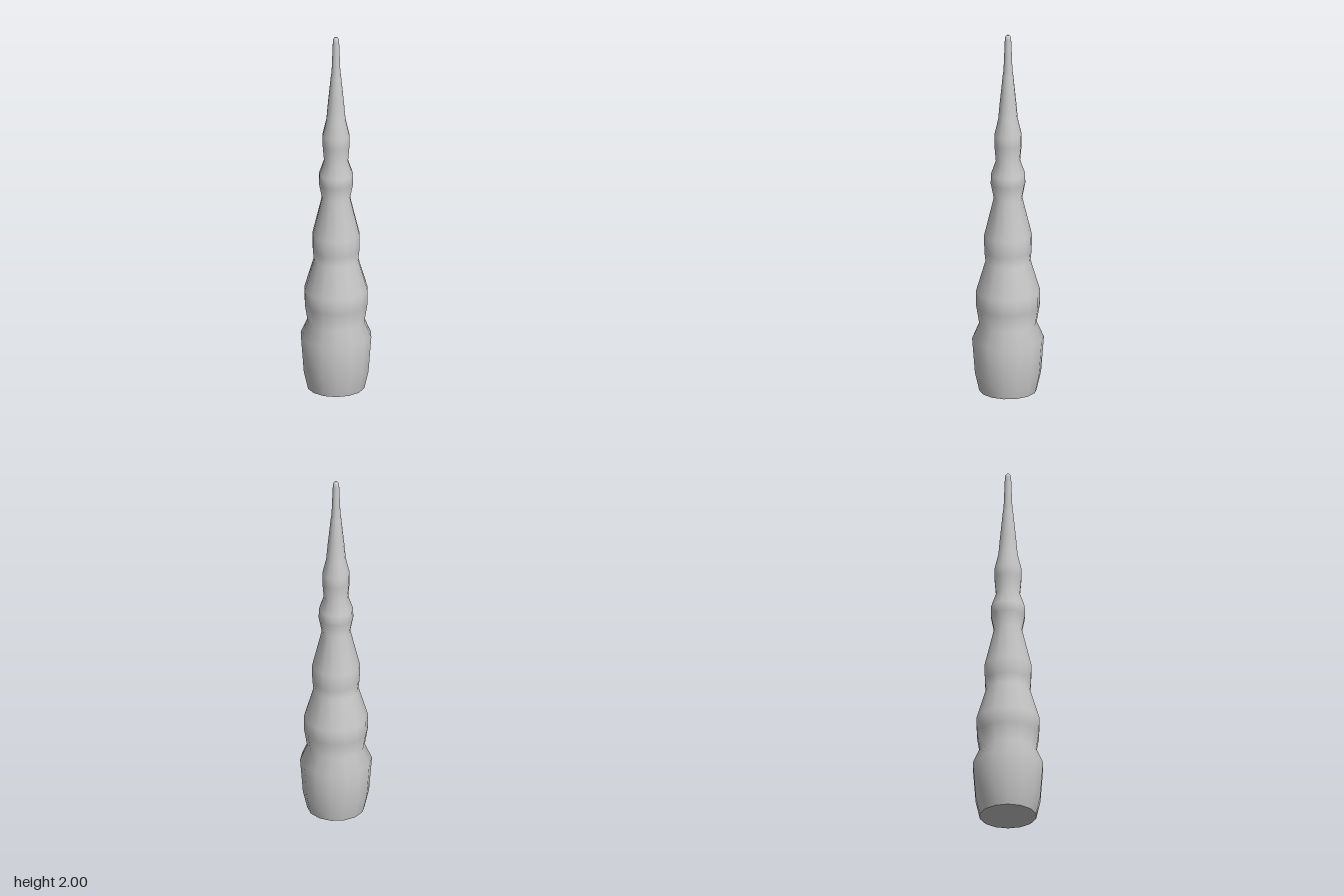
import * as THREE from 'three';

const SIDES = 14;

// Outline of the spire as [radius, height], from the foot to the tip
const PROFILE = [
  [0.153, 0], [0.176, 0.1], [0.191, 0.295], [0.153, 0.38],
  [0.169, 0.475], [0.171, 0.56], [0.12, 0.73],
  [0.126, 0.785], [0.127, 0.875], [0.076, 1.085],
  [0.092, 1.165], [0.091, 1.22], [0.065, 1.295],
  [0.073, 1.385], [0.073, 1.44], [0.052, 1.53],
  [0.045, 1.61], [0.028, 1.775], [0.024, 1.8],
  [0.017, 1.975], [0.015, 1.99], [0.009, 2], [0, 2],
];

export function createModel() {
  const group = new THREE.Group();
  group.name = 'spire';
  const material = new THREE.MeshStandardMaterial({ color: 0xcccccc });

  // Stacked, tapering bulges turned around the vertical axis
  const points = PROFILE.map(([r, y]) => new THREE.Vector2(r, y));
  const body = new THREE.Mesh(new THREE.LatheGeometry(points, SIDES), material);
  body.name = 'body';

  // Flat underside, its corners matching the body
  const foot = new THREE.Mesh(new THREE.CircleGeometry(PROFILE[0][0], SIDES, Math.PI / 2), material);
  foot.rotation.x = Math.PI / 2;
  foot.name = 'foot';

  group.add(body, foot);
  return group;
}
